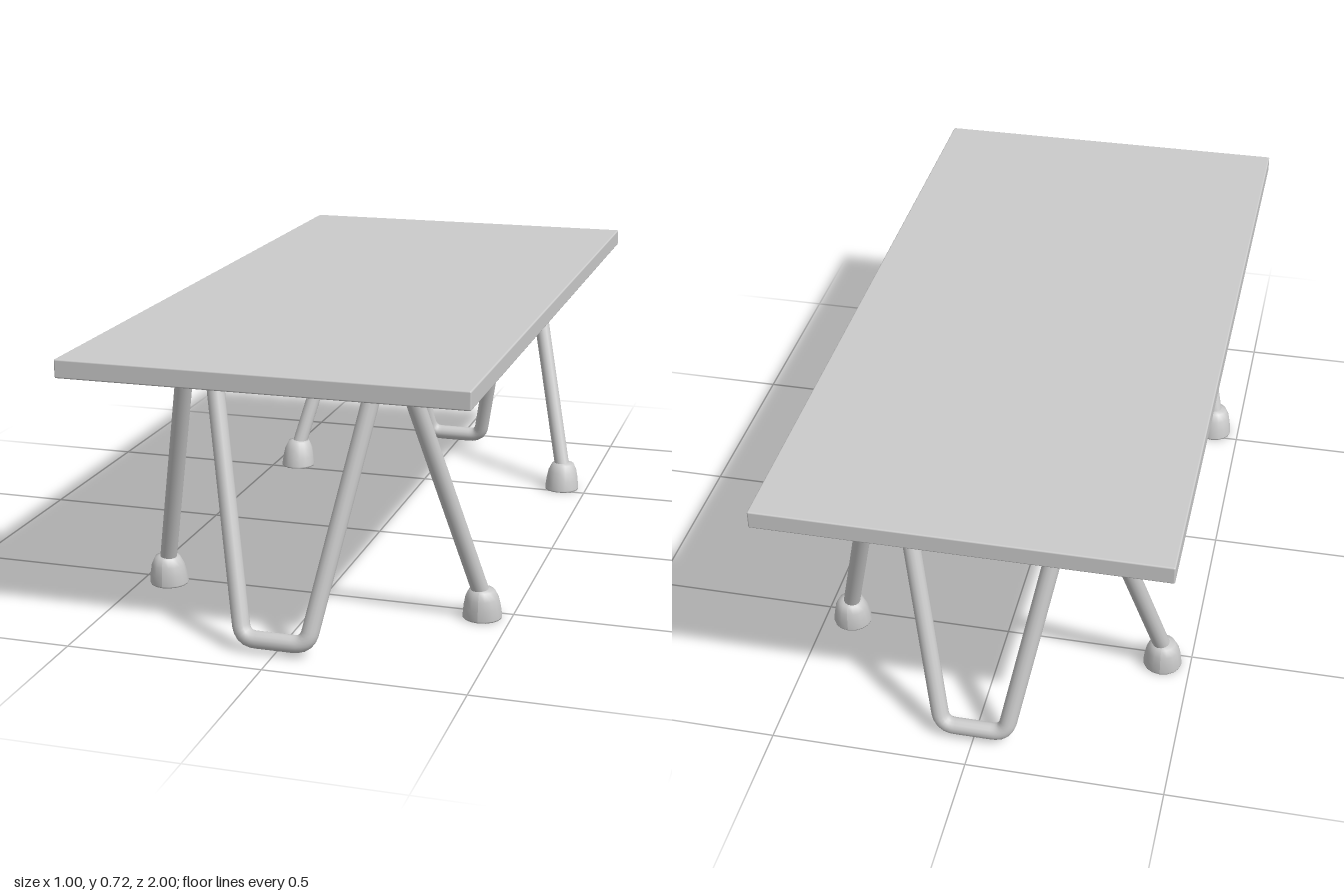
import * as THREE from 'three';
import { RoundedBoxGeometry } from 'three/addons/geometries/RoundedBoxGeometry.js';

const grey = new THREE.MeshStandardMaterial({ color: 0xcccccc });

function part(name, geometry) {
  const mesh = new THREE.Mesh(geometry, grey);
  mesh.name = name;
  return mesh;
}

// Straight runs joined by short rounded bends
function bentPath(points, cut) {
  const path = new THREE.CurvePath();
  let start = points[0];
  for (let i = 1; i < points.length - 1; i++) {
    const p = points[i];
    const into = p.clone().add(points[i - 1].clone().sub(p).setLength(cut));
    const out = p.clone().add(points[i + 1].clone().sub(p).setLength(cut));
    path.add(new THREE.LineCurve3(start, into));
    path.add(new THREE.QuadraticBezierCurve3(into, p, out));
    start = out;
  }
  path.add(new THREE.LineCurve3(start, points[points.length - 1]));
  return path;
}

// Domed foot, leaning with the leg while its base stays flat
function footGeometry() {
  const profile = [[0, 0], [0.05, 0], [0.051, 0.004], [0.048, 0.03], [0.043, 0.055], [0.033, 0.076], [0.018, 0.08], [0, 0.08]];
  const geo = new THREE.LatheGeometry(profile.map(([r, y]) => new THREE.Vector2(r, y)), 16);
  const pos = geo.attributes.position;
  for (let i = 0; i < pos.count; i++) pos.setZ(i, pos.getZ(i) + pos.getY(i) * 0.12);
  geo.computeVertexNormals();
  return geo;
}

// One tube bent into a W: foot, arch, floor loop, arch, foot
function legFrame(name) {
  const frame = new THREE.Group();
  frame.name = name;
  const half = [
    [0.432, 0.035, 0.531],
    [0.279, 0.667, 0.733],
    [0.208, 0.667, 0.733],
    [0.082, 0.032, 0.904],
  ];
  const points = [
    ...half.map(([x, y, z]) => new THREE.Vector3(-x, y, z)),
    ...half.slice().reverse().map(([x, y, z]) => new THREE.Vector3(x, y, z)),
  ];
  frame.add(part('legTube', new THREE.TubeGeometry(bentPath(points, 0.034), 260, 0.022, 14)));
  for (const side of [-1, 1]) {
    const foot = part(side > 0 ? 'leftFoot' : 'rightFoot', footGeometry());
    foot.position.set(side * 0.426, 0, 0.533);
    frame.add(foot);
  }
  return frame;
}

export function createModel() {
  const table = new THREE.Group();
  table.name = 'table';

  // Top board with softened edges
  const top = part('tableTop', new RoundedBoxGeometry(1, 0.046, 2, 2, 0.004));
  top.position.y = 0.698;
  table.add(top);

  // Matching leg frames at both ends
  const front = legFrame('frontLegFrame');
  const back = legFrame('backLegFrame');
  back.rotation.y = Math.PI;
  table.add(front, back);
  return table;
}
